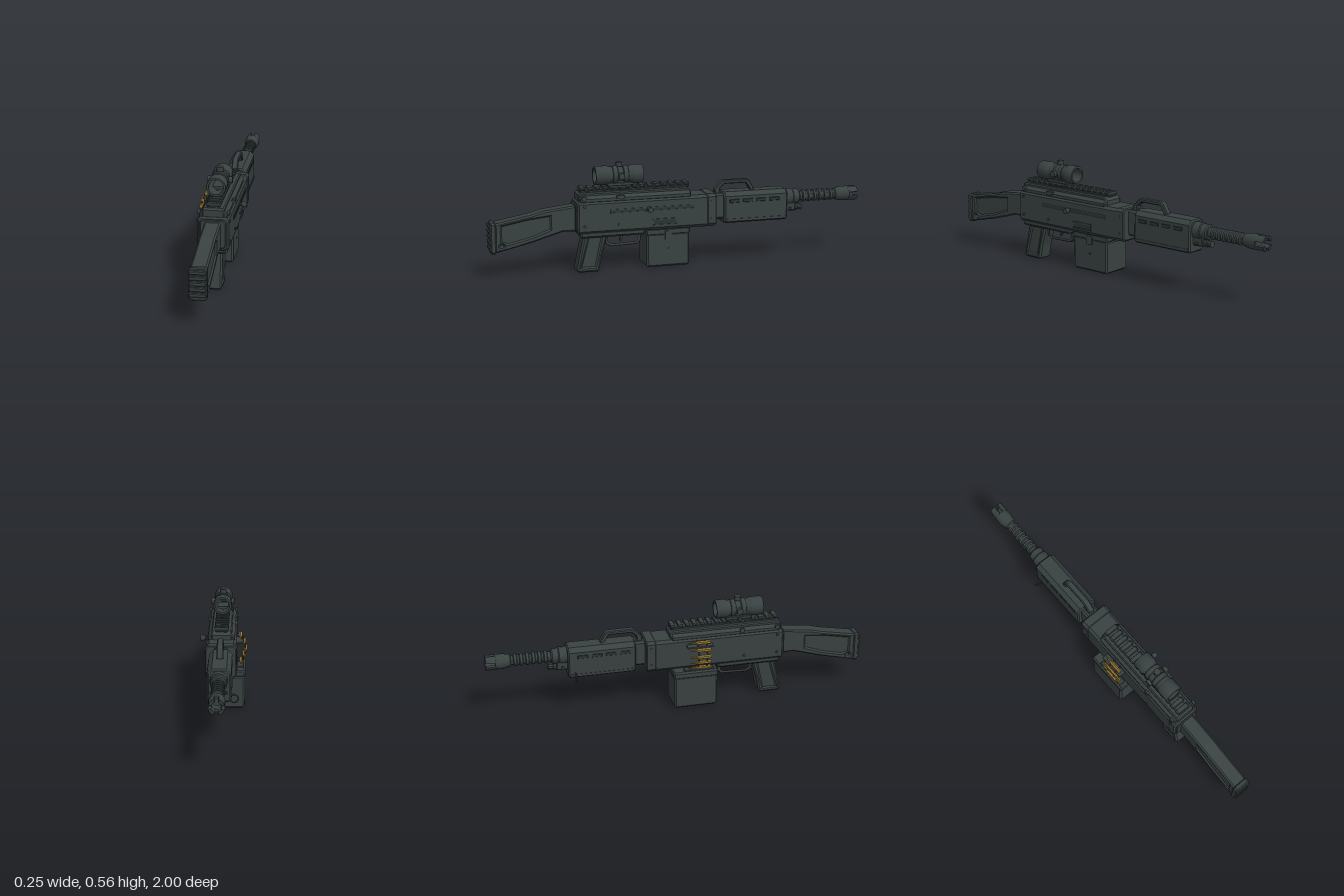
import * as THREE from 'three';
import { toCreasedNormals } from 'three/addons/utils/BufferGeometryUtils.js';

const CX = 0.007; // centre line of the body
const V = (a) => a.map(([x, y]) => new THREE.Vector2(x, y));

export function createModel() {
  const root = new THREE.Group();
  root.name = 'machineGun';
  const metal = new THREE.MeshStandardMaterial({ color: 0x394141 });
  metal.name = 'dark gunmetal';
  const dark = new THREE.MeshStandardMaterial({ color: 0x2c3333 });
  dark.name = 'shadow metal';
  const brass = new THREE.MeshStandardMaterial({ color: 0x96762f });
  brass.name = 'brass';

  const add = (name, geo, mat = metal) => {
    const m = new THREE.Mesh(geo, mat);
    m.name = name;
    root.add(m);
    return m;
  };
  const extrude = (shape, depth, b) => new THREE.ExtrudeGeometry(shape, {
    depth: depth - 2 * b, bevelEnabled: b > 0, bevelSize: b, bevelOffset: -b,
    bevelThickness: b, bevelSegments: 1, curveSegments: 8,
  }).translate(0, 0, b);

  // Chamfered block between two corners, chamfers ct (top) and cb (bottom)
  const block = (name, x0, x1, y0, y1, z0, z1, ct = 0.006, cb = ct, b = 0.004, mat = metal) =>
    add(name, extrude(new THREE.Shape(V([
      [x0 + cb, y0], [x1 - cb, y0], [x1, y0 + cb], [x1, y1 - ct],
      [x1 - ct, y1], [x0 + ct, y1], [x0, y1 - ct], [x0, y0 + cb],
    ])), z1 - z0, b).translate(0, 0, z0), mat);
  const box = (name, x0, x1, y0, y1, z0, z1, mat = metal) =>
    add(name, new THREE.BoxGeometry(x1 - x0, y1 - y0, z1 - z0)
      .translate((x0 + x1) / 2, (y0 + y1) / 2, (z0 + z1) / 2), mat);

  // Side outline in (z, y) with holes, given a width across x
  const side = (name, pts, width, b = 0.005, holes = [], mat = metal, cx = CX) => {
    const s = new THREE.Shape(V(pts));
    holes.forEach((h) => s.holes.push(h));
    return add(name, extrude(s, width, b).translate(0, 0, -width / 2)
      .rotateY(-Math.PI / 2).translate(cx, 0, 0), mat);
  };
  const outline = (pts) => new THREE.Path(V(pts));

  // Turned part along z: pairs of radius and distance toward the muzzle
  const turned = (name, pts, x, y, seg = 16, mat = metal) =>
    add(name, toCreasedNormals(new THREE.LatheGeometry(V(pts), seg), 0.6)
      .rotateX(-Math.PI / 2).translate(x, y, 0), mat);
  const pin = (name, r, x0, x1, y, z, seg = 10) =>
    add(name, toCreasedNormals(new THREE.CylinderGeometry(r, r, x1 - x0, seg), 0.7)
      .rotateZ(Math.PI / 2).translate((x0 + x1) / 2, y, z));

  // Stock with recessed panels, and ribbed butt pad
  const eyelet = new THREE.Path().absarc(0.935, 0.167, 0.011, 0, Math.PI * 2, true);
  const panel = [[0.935, 0.268], [0.8, 0.293], [0.69, 0.305], [0.69, 0.24], [0.79, 0.205], [0.9, 0.18], [0.935, 0.19]];
  side('stock', [[0.97, 0.284], [0.785, 0.318], [0.72, 0.335], [0.55, 0.354], [0.55, 0.22],
    [0.625, 0.222], [0.78, 0.177], [0.97, 0.134]], 0.08, 0.008, [outline(panel), eyelet]);
  side('stockCore', panel, 0.064, 0);
  block('buttPad', -0.036, 0.05, 0.13, 0.29, 0.965, 0.992, 0.01, 0.01, 0.005);
  for (let i = 0; i < 5; i++) {
    const y = 0.148 + i * 0.0275;
    block('buttRib', -0.034, 0.048, y, y + 0.02, 0.985, 1.0, 0.003);
  }

  // Receiver, lower frame and front trunnion
  block('receiver', -0.069, 0.084, 0.207, 0.377, -0.18, 0.555, 0.014, 0.016, 0.008);
  block('receiverRearPlate', -0.056, 0.071, 0.222, 0.365, 0.55, 0.562, 0.012);
  block('lowerFrame', -0.06, 0.075, 0.186, 0.215, 0.2, 0.54, 0.004, 0.01, 0.008);
  block('trunnion', -0.073, 0.088, 0.212, 0.38, -0.182, -0.13, 0.014, 0.014, 0.005);
  block('barrelCollar', -0.03, 0.045, 0.235, 0.37, -0.24, -0.17, 0.01);

  // Feed cover with sloping nose
  side('feedCover', [[0.545, 0.372], [0.545, 0.41], [0.535, 0.419], [-0.03, 0.419], [-0.05, 0.4], [-0.05, 0.372]], 0.108, 0.006);
  block('feedCoverSkirt', -0.062, 0.077, 0.37, 0.404, -0.045, 0.54, 0.016, 0.004, 0.005);
  for (const z of [0.52, 0.33]) {
    pin('coverHinge', 0.013, -0.07, -0.058, 0.393, z);
    pin('coverHinge', 0.013, 0.073, 0.086, 0.393, z);
  }
  box('selector', 0.07, 0.088, 0.385, 0.4, 0.31, 0.352);

  // Top rail and its teeth
  block('rail', -0.024, 0.038, 0.415, 0.429, -0.045, 0.53, 0.004);
  for (let i = 0; i < 15; i++) {
    const z = -0.043 + i * 0.0393;
    block('railTooth', -0.03, 0.044, 0.427, 0.442, z, z + 0.023, 0.006, 0.004, 0.001);
  }

  // Side track, charging handle and ejection port
  for (const [y0, y1] of [[0.309, 0.314], [0.326, 0.331]])
    box('trackLip', 0.08, 0.088, y0, y1, -0.06, 0.385);
  box('trackSlot', 0.08, 0.0855, 0.314, 0.326, -0.06, 0.385, dark);
  pin('chargingRod', 0.008, 0.08, 0.105, 0.323, 0.185);
  pin('chargingKnob', 0.014, 0.1, 0.125, 0.323, 0.185, 12);
  box('ejectionPort', 0.08, 0.0855, 0.238, 0.262, 0.04, 0.157, dark);
  for (const [y0, y1] of [[0.232, 0.238], [0.262, 0.268]])
    box('portLip', 0.08, 0.09, y0, y1, 0.035, 0.162);
  for (const [y, z] of [[0.25, 0.52], [0.25, 0.34], [0.35, 0.52], [0.25, -0.155], [0.34, -0.155]]) {
    pin('rivet', 0.007, 0.08, 0.091, y, z, 8);
    pin('rivet', 0.007, -0.076, -0.065, y, z, 8);
  }

  // Pistol grip with recessed side panels
  const gripPanel = [[0.488, 0.185], [0.427, 0.185], [0.45, 0.08], [0.462, 0.03], [0.53, 0.03]];
  side('grip', [[0.515, 0.21], [0.385, 0.21], [0.395, 0.185], [0.425, 0.08], [0.437, 0.012], [0.445, 0.002],
    [0.545, 0.002], [0.556, 0.012]], 0.086, 0.009, [outline(gripPanel)]);
  side('gripCore', gripPanel, 0.076, 0);

  // Trigger and guard
  side('triggerGuard', [[0.405, 0.2], [0.4, 0.14], [0.37, 0.124], [0.235, 0.128], [0.215, 0.145], [0.205, 0.2]], 0.04, 0.003,
    [outline([[0.392, 0.188], [0.388, 0.148], [0.366, 0.136], [0.24, 0.14], [0.228, 0.15], [0.22, 0.188]])]);
  side('trigger', [[0.325, 0.195], [0.318, 0.17], [0.322, 0.148], [0.313, 0.148], [0.303, 0.17], [0.3, 0.195]], 0.016, 0.002);

  // Ammunition box with lid
  block('ammoBox', -0.114, 0.055, 0.004, 0.178, -0.043, 0.187, 0.004, 0.01, 0.009);
  block('ammoBoxLid', -0.116, 0.057, 0.176, 0.21, -0.046, 0.19, 0.008, 0.003, 0.006);
  block('boxMouth', -0.108, -0.07, 0.2, 0.218, 0.01, 0.17, 0.004);
  box('boxLatch', 0.05, 0.062, 0.15, 0.195, 0.055, 0.09);
  pin('boxButton', 0.006, 0.05, 0.061, 0.1, 0.07, 8);

  // Ammunition belt: rounds, links and feed tray
  const belt = [[-0.09, 0.36], [-0.108, 0.325], [-0.117, 0.29], [-0.11, 0.257], [-0.094, 0.222]];
  for (const [x, y] of belt)
    turned('cartridge', [[0, -0.152], [0.0105, -0.152], [0.0105, -0.085], [0.006, -0.075], [0.006, -0.06], [0, -0.035]], x, y, 6, brass);
  const curve = new THREE.CatmullRomCurve3([[-0.065, 0.362], ...belt, [-0.065, 0.235]].map(([x, y]) => new THREE.Vector3(x, y, 0)));
  for (const z of [0.085, 0.13])
    add('beltLink', new THREE.TubeGeometry(curve, 20, 0.004, 5).translate(0, 0, z));
  box('feedTray', -0.105, -0.06, 0.336, 0.344, 0.03, 0.165);

  // Handguard with vent slots
  block('handguard', -0.052, 0.064, 0.213, 0.378, -0.585, -0.232, 0.022, 0.012, 0.007);
  for (let i = 0; i < 4; i++) {
    const z = -0.315 - i * 0.074;
    for (const s of [-1, 1])
      block('ventSlot', CX + s * 0.0565 - 0.004, CX + s * 0.0565 + 0.004, 0.322, 0.34, z, z + 0.055, 0.002, 0.002, 0.002, dark);
  }
  for (const s of [-1, 1])
    box('handguardRib', CX + s * 0.058 - 0.003, CX + s * 0.058 + 0.003, 0.222, 0.236, -0.575, -0.245);

  // Carry handle
  side('carryHandle', [[-0.19, 0.365], [-0.19, 0.39], [-0.225, 0.428], [-0.24, 0.436], [-0.37, 0.436], [-0.385, 0.428],
    [-0.41, 0.385], [-0.41, 0.365]], 0.034, 0.005,
  [outline([[-0.22, 0.378], [-0.222, 0.395], [-0.245, 0.416], [-0.365, 0.416], [-0.388, 0.378]])]);

  // Sling ring
  add('slingRing', new THREE.TorusGeometry(0.02, 0.0035, 6, 16).translate(-0.066, 0.221, -0.55));
  pin('ringPost', 0.005, -0.07, -0.045, 0.242, -0.55, 8);

  // Gas block and regulator
  turned('gasBlock', [[0, 0.58], [0.044, 0.58], [0.044, 0.625], [0.04, 0.63], [0.04, 0.66], [0.034, 0.667], [0, 0.667]], CX, 0.325, 12);
  block('gasPort', -0.022, 0.036, 0.252, 0.31, -0.64, -0.58, 0.006);
  turned('gasRegulator', [[0, 0.63], [0.02, 0.63], [0.02, 0.655], [0.016, 0.658], [0.018, 0.682], [0, 0.682]], CX, 0.268, 10);
  pin('regulatorLever', 0.007, -0.035, 0.05, 0.268, -0.61, 8);

  // Ribbed barrel
  const ribs = [[0.025, 0.66]];
  for (let i = 0; i < 6; i++) {
    const d = 0.683 + i * 0.031;
    ribs.push([0.025, d], [0.032, d + 0.004], [0.032, d + 0.017], [0.025, d + 0.021]);
  }
  turned('barrel', [...ribs, [0.025, 0.89]], CX, 0.325);

  // Slotted flash hider with open bore
  turned('flashHider', [[0.025, 0.87], [0.031, 0.875], [0.039, 0.91], [0.039, 0.95], [0.024, 0.95], [0.024, 0.9], [0, 0.9]], CX, 0.325);
  for (let i = 0; i < 4; i++) {
    const a = i * Math.PI / 2 + 0.28, e = a + Math.PI / 2 - 0.56;
    const s = new THREE.Shape().absarc(0, 0, 0.039, a, e, false).absarc(0, 0, 0.024, e, a, true);
    add('hiderProng', extrude(s, 0.055, 0.002).translate(CX, 0.325, -1));
  }

  // Scope: open tube with stepped ends, turrets and mount
  turned('scopeTube', [[0.037, -0.45], [0.047, -0.45], [0.049, -0.445], [0.049, -0.385], [0.043, -0.375], [0.043, -0.36], [0.046, -0.358],
    [0.046, -0.335], [0.04, -0.33], [0.04, -0.305], [0.046, -0.302], [0.046, -0.28], [0.043, -0.277], [0.043, -0.265],
    [0.049, -0.255], [0.049, -0.205], [0.047, -0.2], [0.037, -0.2], [0.037, -0.45]], CX, 0.495, 20);
  pin('sideTurrets', 0.016, -0.055, -0.038, 0.495, 0.32, 12);
  pin('sideTurrets', 0.016, 0.052, 0.071, 0.495, 0.32, 12);
  add('topTurret', toCreasedNormals(new THREE.CylinderGeometry(0.017, 0.017, 0.022, 12), 0.7).translate(CX, 0.549, 0.32));
  box('scopeMountBar', -0.022, 0.036, 0.458, 0.474, 0.27, 0.37);
  block('scopeMount', -0.03, 0.038, 0.44, 0.46, 0.25, 0.39, 0.004);
  block('mountClamp', -0.027, 0.041, 0.422, 0.444, 0.26, 0.38, 0.01, 0.004);
  pin('mountScrew', 0.009, -0.05, -0.025, 0.45, 0.32, 10);

  return root;
}
